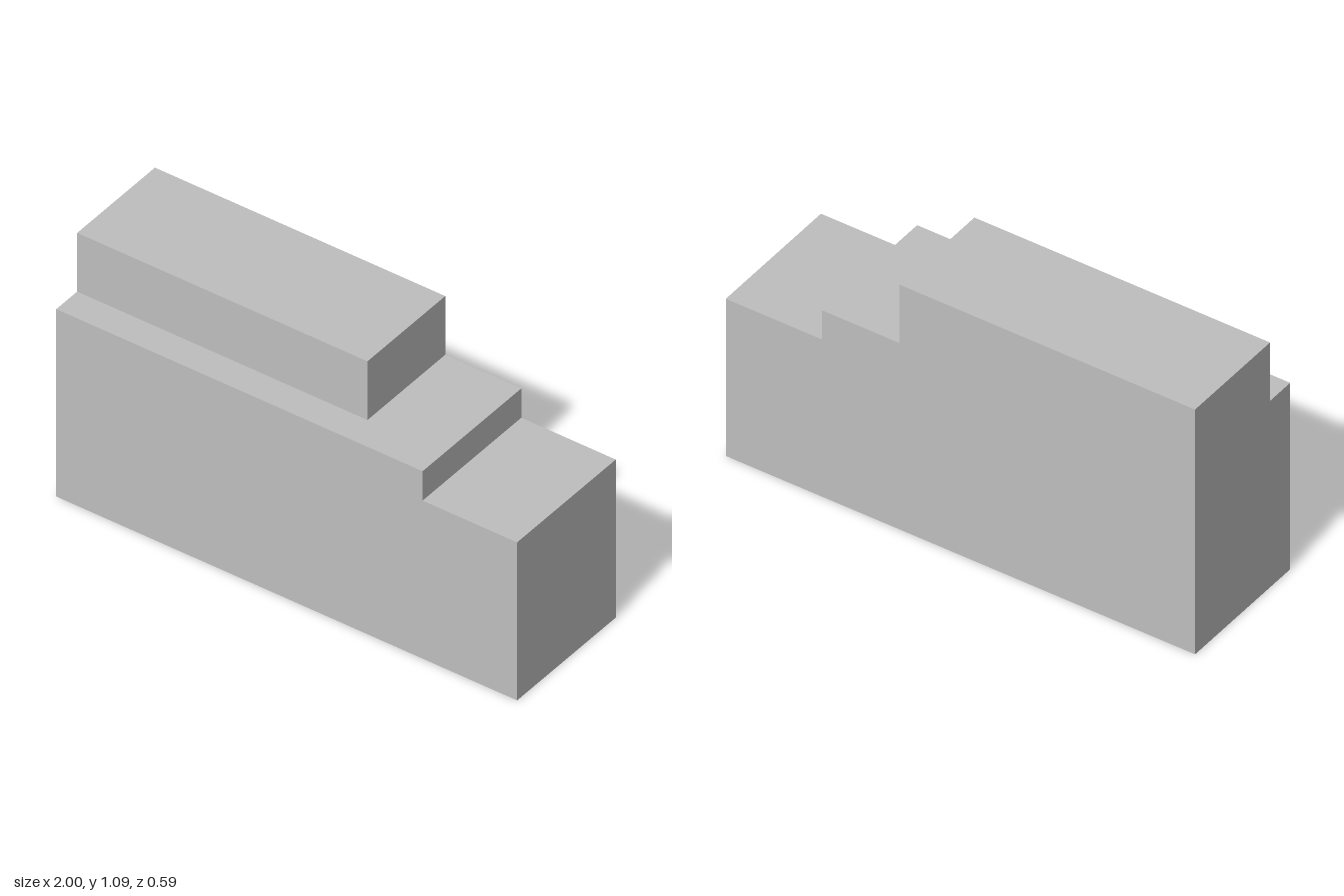
import * as THREE from 'three';

// Hollow stepped casing with thin walls, open underneath.
const T = 0.012;                        // wall thickness
const X0 = -1, X1 = 0.26, X2 = 0.59, X3 = 1; // step positions along the length
const LOW = 0.7, MID = 0.83, TOP = 1.09;     // step heights
const BACK = -0.295, SET = 0.17, FRONT = 0.295;

export function createModel() {
  const group = new THREE.Group();
  const grey = new THREE.MeshStandardMaterial({ color: 0xbfbfbf });
  grey.name = 'plain grey';

  const add = (name, geometry) => {
    const mesh = new THREE.Mesh(geometry, grey);
    mesh.name = name;
    group.add(mesh);
    return mesh;
  };
  // Box given by its limits on each axis
  const slab = (name, x0, x1, y0, y1, z0, z1) =>
    add(name, new THREE.BoxGeometry(x1 - x0, y1 - y0, z1 - z0))
      .position.set((x0 + x1) / 2, (y0 + y1) / 2, (z0 + z1) / 2);
  // Stepped upright panel, cut from a side profile
  const panel = (name, points, z) => {
    const shape = new THREE.Shape(points.map(([x, y]) => new THREE.Vector2(x, y)));
    add(name, new THREE.ExtrudeGeometry(shape, { depth: T, bevelEnabled: false })).position.z = z;
  };

  // Long walls
  panel('backWall', [[X0, 0], [X3, 0], [X3, LOW], [X2, LOW], [X2, MID], [X1, MID], [X1, TOP], [X0, TOP]], BACK);
  panel('frontWall', [[X0, 0], [X3, 0], [X3, LOW], [X2, LOW], [X2, MID], [X0, MID]], FRONT - T);
  slab('upperFrontWall', X0, X1, MID - T, TOP, SET - T, SET);

  // End walls and step risers
  const zb = BACK + T, zf = FRONT - T, zs = SET - T;
  slab('lowEndWall', X3 - T, X3, 0, LOW, zb, zf);
  slab('lowerRiser', X2 - T, X2, LOW - T, MID, zb, zf);
  slab('upperRiser', X1 - T, X1, MID - T, TOP, zb, zs);
  slab('tallEndWall', X0, X0 + T, 0, MID - T, zb, zf);
  slab('tallEndWallTop', X0, X0 + T, MID - T, TOP, zb, zs);

  // Roofs and front ledge
  slab('lowRoof', X2, X3 - T, LOW - T, LOW, zb, zf);
  slab('middleRoof', X1, X2 - T, MID - T, MID, zb, zf);
  slab('frontLedge', X0, X1, MID - T, MID, SET, zf);
  slab('topRoof', X0 + T, X1 - T, TOP - T, TOP, zb, zs);

  return group;
}
